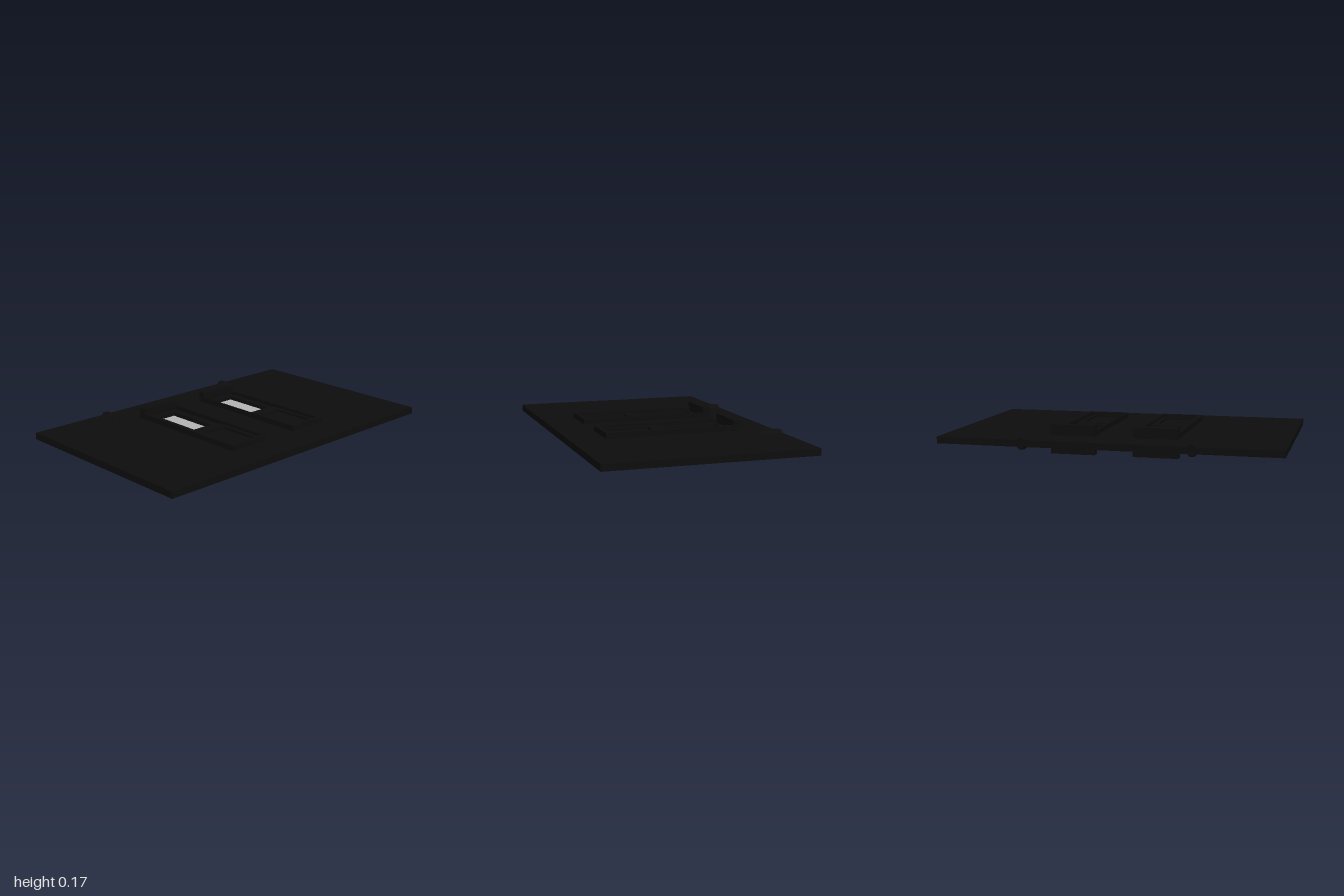
import * as THREE from 'three';

export function createModel() {
  const model = new THREE.Group();
  const dark = new THREE.MeshStandardMaterial({ color: 0x0d0d0d });
  dark.name = 'charcoal';
  const glass = new THREE.MeshStandardMaterial({ color: 0xb4b4b4 });
  glass.name = 'paleGlass';

  const add = (parent, name, geometry, material = dark) => {
    const mesh = new THREE.Mesh(geometry, material);
    mesh.name = name;
    parent.add(mesh);
    return mesh;
  };
  const box = (parent, name, [x0, x1], [y0, y1], [z0, z1], material) =>
    add(parent, name, new THREE.BoxGeometry(x1 - x0, y1 - y0, z1 - z0), material)
      .position.set((x0 + x1) / 2, (y0 + y1) / 2, (z0 + z1) / 2);

  // Flat slab in the x-z plane with rectangular holes, given as [x0, x1, z0, z1]
  const rect = (T, [x0, x1, z0, z1]) => {
    const p = new T();
    p.moveTo(x0, z0).lineTo(x1, z0).lineTo(x1, z1).lineTo(x0, z1).closePath();
    return p;
  };
  const slab = (parent, name, outer, holes, y0, y1) => {
    const shape = rect(THREE.Shape, outer);
    shape.holes = holes.map(h => rect(THREE.Path, h));
    const geo = new THREE.ExtrudeGeometry(shape, { depth: y1 - y0, bevelEnabled: false });
    geo.rotateX(Math.PI / 2);
    add(parent, name, geo).position.y = y1;
  };

  // Wall lying on its back, open behind the upper sashes
  const wallHoles = [[-0.345, -0.126, -0.345, 0.01], [0.121, 0.34, -0.345, 0.01]];
  slab(model, 'wall', [-1, 1, -0.617, 0.617], wallHoles, 0.068, 0.108);

  // Two windows, mirrored so the narrow gap faces the centre
  for (const side of [-1, 1]) {
    const win = new THREE.Group();
    win.name = side < 0 ? 'rightWindow' : 'leftWindow';
    const cx = side < 0 ? -0.247 : 0.244;
    const span = (a, b) => (side > 0 ? [cx + a, cx + b] : [cx - b, cx - a]);
    const area = (a, b, z0, z1) => [...span(a, b), z0, z1];

    // Outer casing and the deeper end ledge
    slab(win, 'casing', area(-0.13, 0.13, -0.41, 0.41), [area(-0.123, 0.102, -0.365, 0.385)], 0.035, 0.14);
    box(win, 'ledge', span(-0.133, 0.133), [0, 0.172], [-0.413, -0.367]);

    // Upper sash with its pane
    slab(win, 'upperSash', area(-0.118, 0.102, -0.365, 0.03), [area(-0.075, 0.071, -0.335, 0)], 0.068, 0.116);
    box(win, 'pane', span(-0.075, 0.071), [0.084, 0.092], [-0.335, 0], glass);

    // Lower sash over the solid wall
    slab(win, 'lowerSash', area(-0.123, 0.102, 0.03, 0.385), [area(-0.098, 0.08, 0.09, 0.37)], 0.055, 0.122);
    model.add(win);
  }

  // Tapered lamps at the far edge
  for (const x of [-0.493, 0.488]) {
    const lamp = new THREE.Group();
    lamp.name = 'lamp';
    lamp.position.set(x, 0.089, 0);
    const profile = [[0, -0.62], [0.035, -0.62], [0.04, -0.61], [0.04, -0.565], [0.033, -0.545],
      [0.033, -0.495], [0.024, -0.482], [0, -0.482]];
    const geo = new THREE.LatheGeometry(profile.map(([r, z]) => new THREE.Vector2(r, z)), 8, Math.PI / 8);
    geo.rotateX(Math.PI / 2);
    const body = add(lamp, 'lampBody', geo.toNonIndexed());
    body.geometry.computeVertexNormals();
    body.scale.x = 0.85;
    model.add(lamp);
  }
  return model;
}
